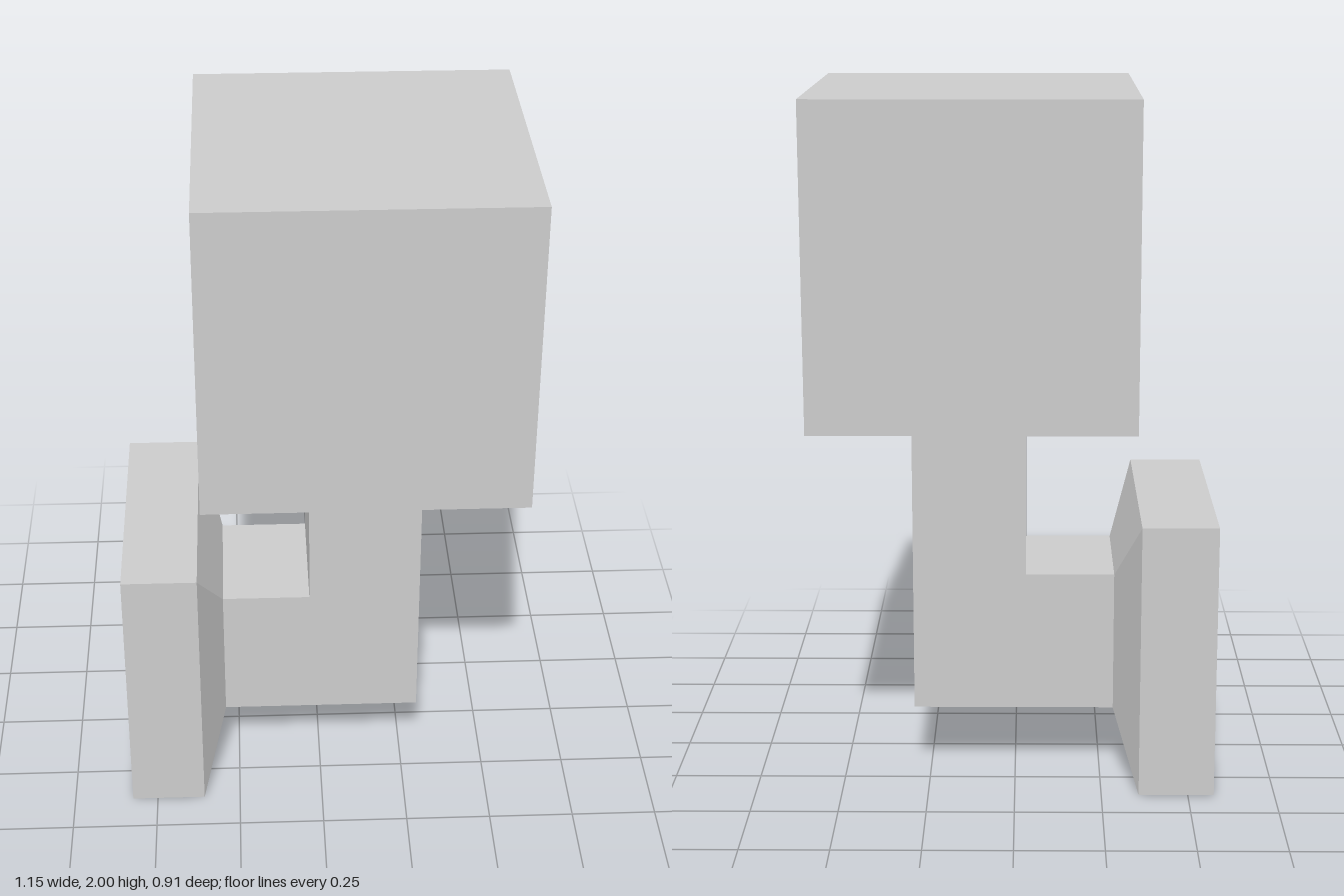
import * as THREE from 'three';

const material = new THREE.MeshStandardMaterial({ color: 0xcccccc, flatShading: true });

function addPart(group, name, geometry, x, y, z) {
  const mesh = new THREE.Mesh(geometry, material);
  mesh.name = name;
  mesh.position.set(x, y, z);
  group.add(mesh);
}

// Square plate whose inner side narrows to the size of the arm
function flangeGeometry() {
  const height = 0.803, depth = 0.757;
  const box = new THREE.BoxGeometry(2, height, depth, 2, 1, 1);
  const p = box.attributes.position;
  for (let i = 0; i < p.count; i++) {
    const x = p.getX(i);
    if (x > 0.5) p.setXYZ(i, -0.288, p.getY(i) * 0.411 / height, p.getZ(i) * 0.388 / depth);
    else p.setX(i, x < -0.5 ? -0.575 : -0.358);
  }
  const flat = box.toNonIndexed();
  flat.computeVertexNormals();
  return flat;
}

// L-shaped arm: horizontal leg to the plate, vertical leg to the cube
function armGeometry() {
  const outline = [[-0.288, 0.197], [0.297, 0.197], [0.297, 1.09], [-0.031, 1.09], [-0.031, 0.608], [-0.288, 0.608]];
  const shape = new THREE.Shape(outline.map(([x, y]) => new THREE.Vector2(x, y)));
  return new THREE.ExtrudeGeometry(shape, { depth: 0.388, bevelEnabled: false });
}

export function createModel() {
  const group = new THREE.Group();
  group.name = 'cubeOnBracket';
  addPart(group, 'headCube', new THREE.BoxGeometry(0.914, 0.912, 0.914), 0.117, 1.544, 0);
  addPart(group, 'elbowArm', armGeometry(), 0, 0, -0.194);
  addPart(group, 'mountingFlange', flangeGeometry(), 0, 0.4015, 0);
  return group;
}
